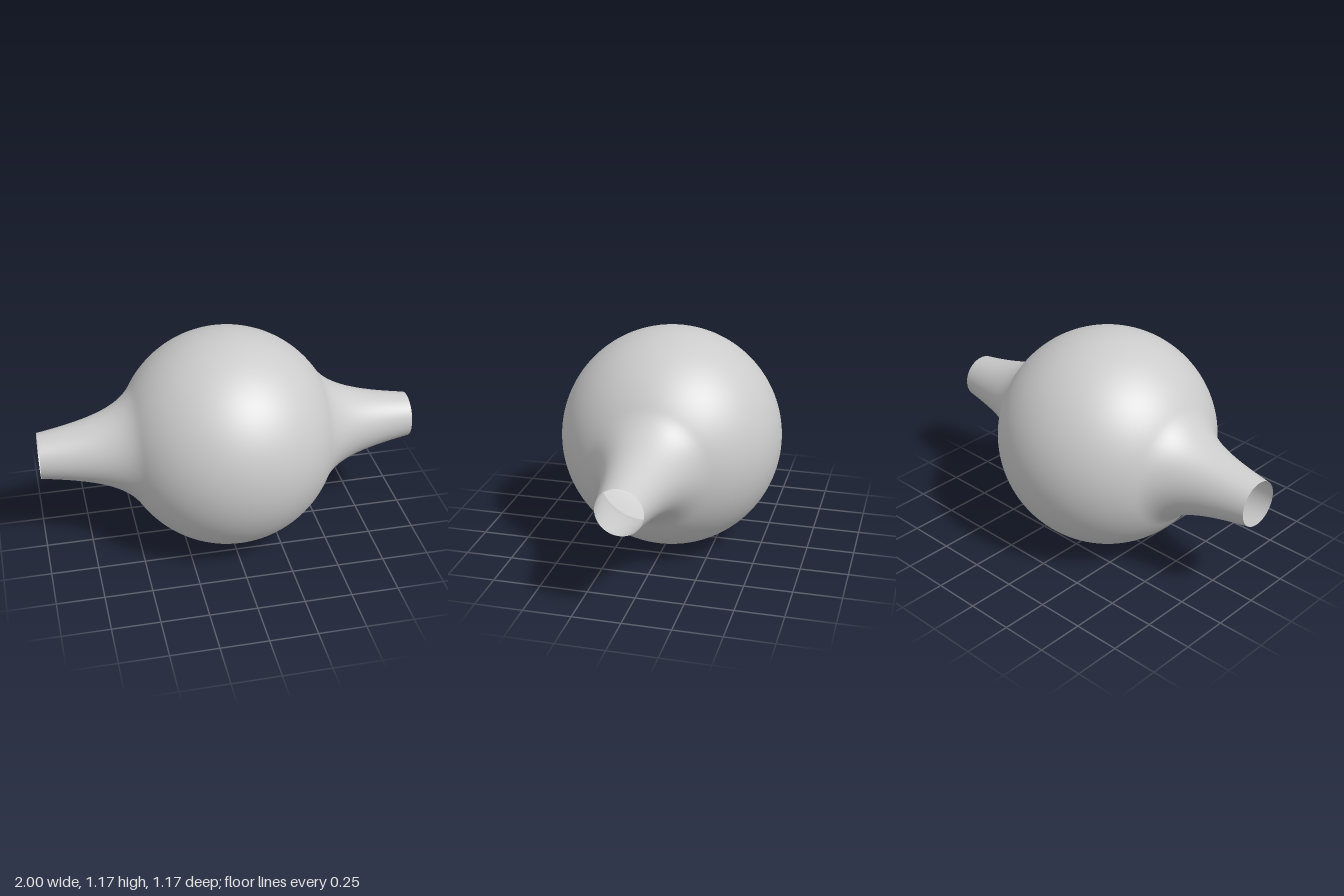
import * as THREE from 'three';

const R = 0.585; // bulb radius, also the height of the axis

export function createModel() {
  const group = new THREE.Group();
  const material = new THREE.MeshStandardMaterial({ color: 0xcccccc, side: THREE.DoubleSide });

  // Half profile as (radius, distance along the axis): round bulb, then flared neck
  const joinAngle = Math.asin(0.49 / R);
  const half = [];
  for (let i = 0; i <= 28; i++) {
    const a = (joinAngle * i) / 28;
    half.push(new THREE.Vector2(R * Math.cos(a), R * Math.sin(a)));
  }
  const neck = new THREE.CubicBezierCurve(
    half[28].clone(),
    new THREE.Vector2(0.215, 0.56),
    new THREE.Vector2(0.165, 0.7),
    new THREE.Vector2(0.12, 1)
  );
  half.push(...neck.getPoints(28).slice(1));

  // Mirror the half profile to get both open necks
  const mirrored = half.slice(1).reverse().map((p) => new THREE.Vector2(p.x, -p.y));
  const geometry = new THREE.LatheGeometry([...mirrored, ...half], 128);
  geometry.rotateZ(-Math.PI / 2);

  const body = new THREE.Mesh(geometry, material);
  body.name = 'bulbWithOpenNecks';
  body.position.y = R;
  group.add(body);
  return group;
}
